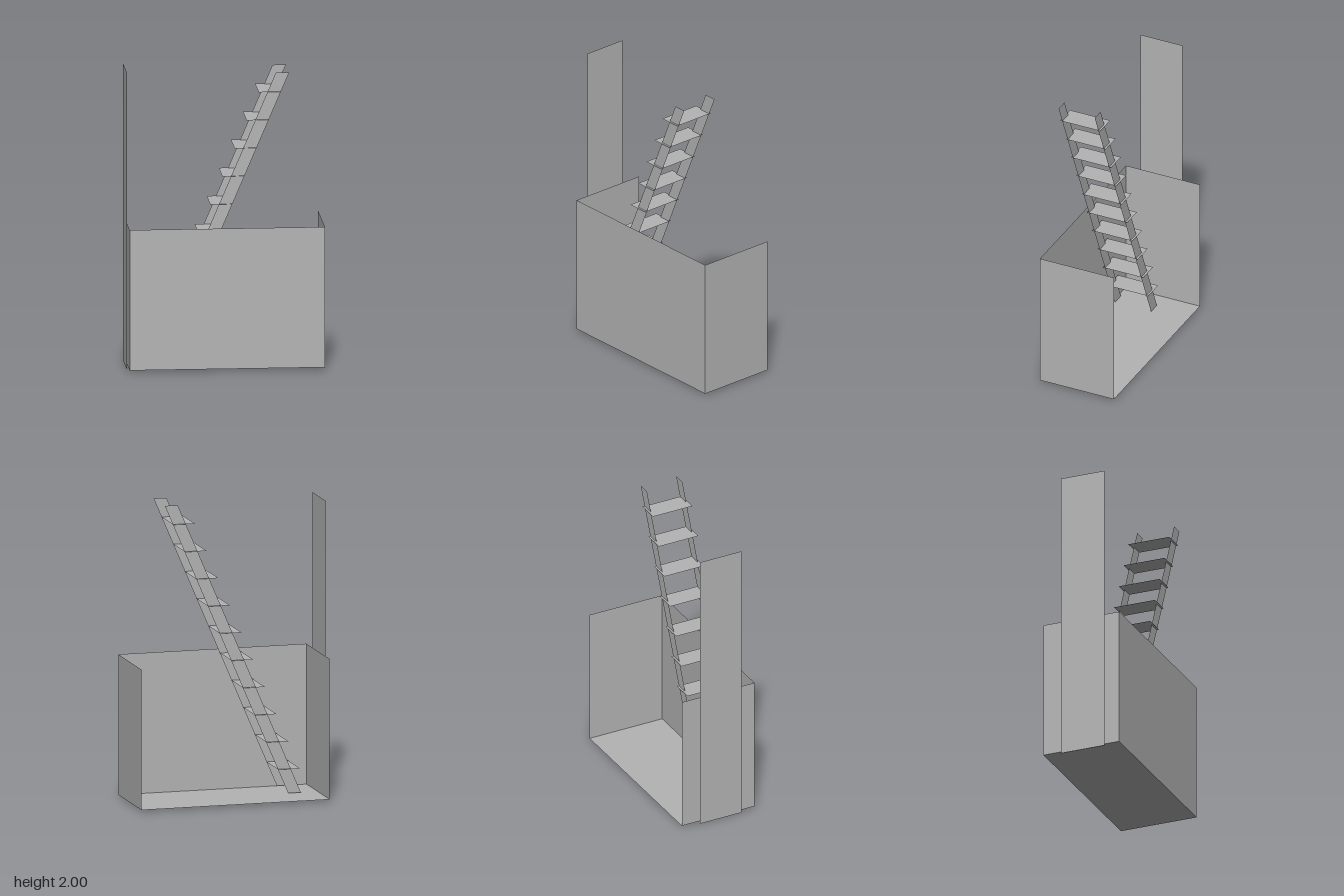
import * as THREE from 'three';

const grey = new THREE.MeshStandardMaterial({ color: 0xb3b3b3, side: THREE.DoubleSide });
grey.name = 'plain grey';

// Flat sheet spanning two corner points that share one coordinate
function sheet(name, [x0, y0, z0], [x1, y1, z1]) {
  const w = x1 - x0, h = y1 - y0, d = z1 - z0;
  let geo;
  if (d === 0) geo = new THREE.PlaneGeometry(w, h);
  else if (w === 0) geo = new THREE.PlaneGeometry(d, h).rotateY(Math.PI / 2);
  else geo = new THREE.PlaneGeometry(w, d).rotateX(-Math.PI / 2);
  const mesh = new THREE.Mesh(geo, grey);
  mesh.name = name;
  mesh.position.set((x0 + x1) / 2, (y0 + y1) / 2, (z0 + z1) / 2);
  return mesh;
}

export function createModel() {
  const model = new THREE.Group();
  model.name = 'boxWithLadder';

  // Thin-walled box, open at the top and back
  const L = -0.642, R = 0.652, bottom = 0.015, top = 0.96, back = -0.272, front = 0.272;
  const box = new THREE.Group();
  box.name = 'box';
  box.add(
    sheet('floor', [L, bottom, back], [R, bottom, front]),
    sheet('frontWall', [L, bottom, front], [R, top, front]),
    sheet('rightWall', [L, bottom, back], [L, top, front]),
    sheet('leftWall', [R, bottom, back], [R, top, front]),
  );

  // Tall upright board standing just outside the box
  const board = sheet('tallBoard', [-0.652, 0, -0.14], [-0.652, 2, 0.17]);

  // Leaning ladder: slanted rails with flat treads
  const ladder = new THREE.Group();
  ladder.name = 'ladder';
  const slope = 0.428, railWidth = 0.088, railBase = 0.02;
  const railX = (y) => 0.328 + slope * (y - 2);
  const railShape = new THREE.Shape([
    new THREE.Vector2(railX(railBase), railBase),
    new THREE.Vector2(railX(railBase) + railWidth, railBase),
    new THREE.Vector2(railX(2) + railWidth, 2),
    new THREE.Vector2(railX(2), 2),
  ]);
  for (const z of [-0.015, 0.25]) {
    const rail = new THREE.Mesh(new THREE.ShapeGeometry(railShape), grey);
    rail.name = 'ladderRail';
    rail.position.z = z;
    ladder.add(rail);
  }
  for (let i = 0; i < 10; i++) {
    const y = 1.872 - i * 0.1875;
    const x = railX(y) + railWidth;
    ladder.add(sheet('tread', [x - 0.148, y, -0.03], [x, y, 0.265]));
  }

  model.add(box, board, ladder);
  return model;
}
